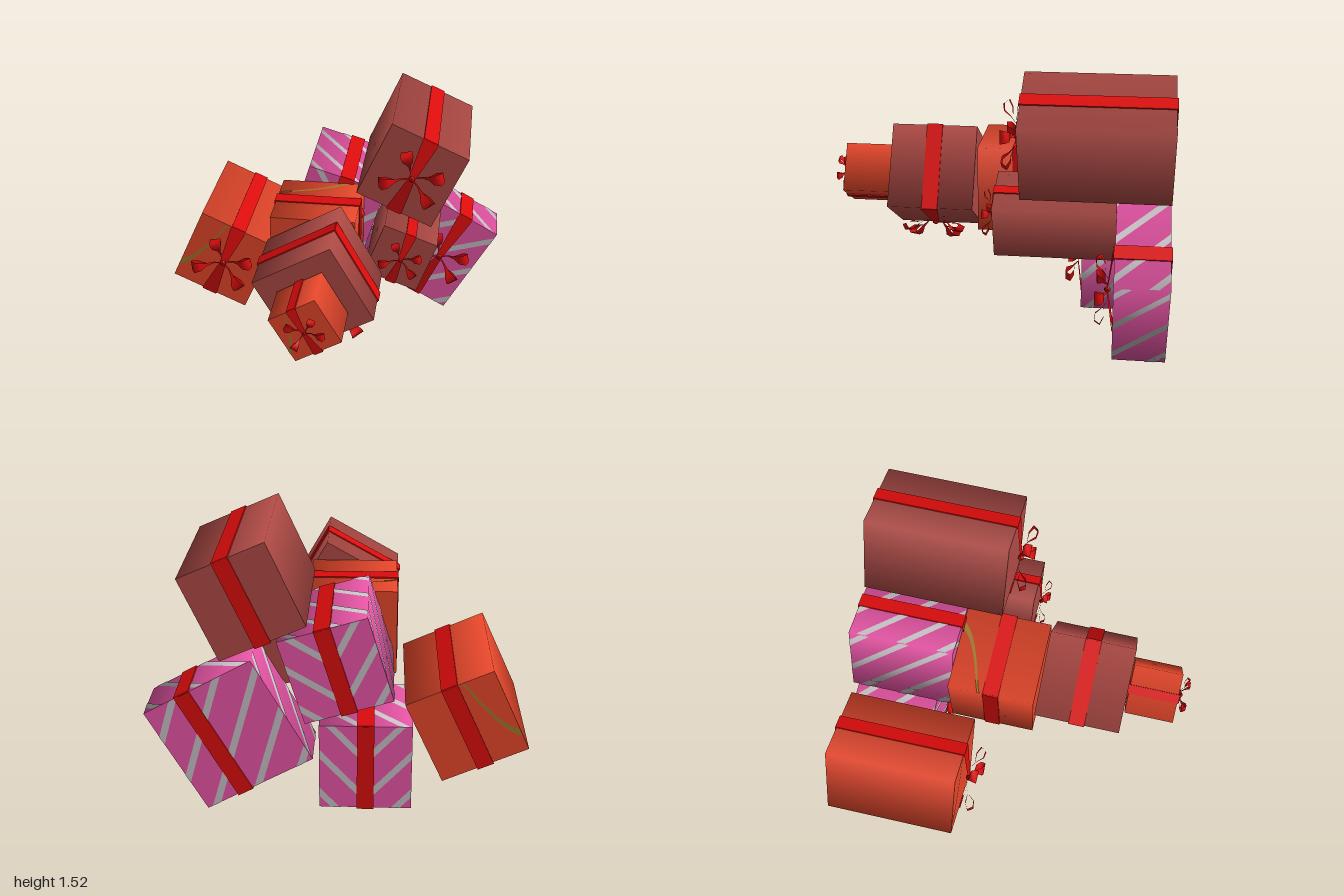
import * as THREE from 'three';

const flat = (name, color, side = THREE.FrontSide) => {
  const m = new THREE.MeshStandardMaterial({ color, side });
  m.name = name;
  return m;
};

export function createModel() {
  const mats = {
    orange: flat('orange paper', 0xe6472b),
    brown: flat('brown paper', 0xae4a45),
    pink: flat('pink paper', 0xe855a6),
    silver: flat('silver stripe', 0xc6c0c4),
    green: flat('olive streak', 0x9a7a2a),
    ribbon: flat('red ribbon', 0xdc0c0c, THREE.DoubleSide),
  };
  const add = (parent, geo, mat, name) => {
    const mesh = new THREE.Mesh(geo, mat);
    mesh.name = name;
    parent.add(mesh);
  };

  // Put a flat decoration on a face: 0-3 are the long sides, 4 the front, 5 the back
  const placeOnFace = (geo, face, s, d) => {
    if (face < 4) {
      return geo.rotateX(-Math.PI / 2).translate(0, s / 2 + 0.003, 0).rotateZ(face * Math.PI / 2);
    }
    geo.translate(0, 0, d / 2 + 0.003);
    return face === 5 ? geo.rotateY(Math.PI) : geo;
  };

  // Band following a rise rule, cut off at the edges of a w x h face
  const band = (w, h, rise, c, t, soft) => {
    const geo = new THREE.PlaneGeometry(w, h, 32, 1);
    const p = geo.attributes.position, n = geo.attributes.normal;
    const v = new THREE.Vector3();
    for (let i = 0; i < p.count; i++) {
      const x = p.getX(i);
      const y = rise(x) + c + (p.getY(i) > 0 ? t / 2 : -t / 2);
      p.setY(i, THREE.MathUtils.clamp(y, -h / 2, h / 2));
      if (soft) {
        v.set(2 * x / w, 0, 1).normalize();
        n.setXYZ(i, v.x, v.y, v.z);
      }
    }
    return geo;
  };

  const addStripes = (g, s, d, chevron) => {
    for (let face = 0; face < 6; face++) {
      const side = face < 4, h = side ? d : s;
      const rise = side ? x => -x : chevron ? x => 1.1 * Math.abs(x) : x => x;
      const reach = (h + s) / 2;
      const gap = chevron ? 0.23 : 0.26;
      for (let c = -reach + 0.07; c < reach; c += gap) {
        add(g, placeOnFace(band(s, h, rise, c, 0.052, side), face, s, d), mats.silver, 'paperStripe');
      }
    }
  };

  // One steep curved streak on each end
  const addStreaks = (g, s, d) => {
    for (const [face, dir] of [[4, -1], [5, 1]]) {
      const rise = x => {
        const u = x - dir * 0.31 * s;
        return -dir * 2.4 * u + 5 * u * u / s;
      };
      add(g, placeOnFace(band(s, s, rise, 0, s * 0.09, false), face, s, d), mats.green, 'paperStreak');
    }
  };

  // Curled bow loop: out from the knot, up, and back under. [radius, height, width]
  const curl = [[0, 0.03, 0.01], [0.06, 0.03, 0.01], [0.1, 0.06, 0.022], [0.13, 0.095, 0.055],
    [0.17, 0.1, 0.075], [0.19, 0.07, 0.065], [0.15, 0.05, 0.05], [0.1, 0.05, 0.015]];
  const bowLoop = (angle) => {
    const geo = new THREE.PlaneGeometry(1, 1, 1, curl.length - 1);
    const p = geo.attributes.position;
    for (let i = 0; i < p.count; i++) {
      const [r, h, w] = curl[Math.floor(i / 2)];
      p.setXYZ(i, r, (i % 2 ? 0.5 : -0.5) * w, h);
    }
    geo.rotateZ(angle);
    geo.computeVertexNormals();
    return geo;
  };

  const addRibbon = (g, s, d, offset) => {
    const k = Math.min(1, s / 0.488), w = 0.09 * k, t = 0.014;
    const ribbon = new THREE.Group();
    ribbon.name = 'ribbon';
    ribbon.position.x = offset;
    g.add(ribbon);
    // bands over the top, bottom and back
    for (const y of [-1, 1]) {
      add(ribbon, new THREE.BoxGeometry(w, t, d + 0.012).translate(0, y * s / 2, 0), mats.ribbon, 'ribbonBand');
    }
    add(ribbon, new THREE.BoxGeometry(w, s, t).translate(0, 0, -d / 2), mats.ribbon, 'ribbonBack');
    // front band, gathered at the knot
    const front = new THREE.PlaneGeometry(w * 1.1, s, 2, 10);
    const p = front.attributes.position;
    for (let i = 0; i < p.count; i++) {
      const a = Math.abs(p.getY(i)) / (s / 2);
      p.setX(i, p.getX(i) * (0.4 + 0.6 * a));
      p.setZ(i, d / 2 + 0.007 + 0.03 * k * (1 - a));
    }
    front.computeVertexNormals();
    add(ribbon, front, mats.ribbon, 'ribbonFront');
    // bow
    const bow = new THREE.Group();
    bow.name = 'bow';
    bow.position.z = d / 2;
    bow.scale.setScalar(k);
    ribbon.add(bow);
    add(bow, new THREE.IcosahedronGeometry(0.02, 0).translate(0, 0, 0.035), mats.ribbon, 'knot');
    for (const deg of [36, 124, 208, 332]) {
      add(bow, bowLoop(deg * Math.PI / 180), mats.ribbon, 'bowLoop');
    }
  };

  // name, paper, side, back z, front z, centre x, centre y, tilt in degrees, options
  const gifts = [
    ['leftGift', 'orange', 0.488, -0.97, -0.215, -0.68, 0.518, -24.5, {}],
    ['bottomGift', 'pink', 0.488, -0.97, -0.48, -0.155, 0.268, 0, { chevron: true }],
    ['largeGift', 'pink', 0.645, -0.97, -0.68, 0.56, 0.44, -29, { offset: 0.09 }],
    ['topGift', 'brown', 0.487, -0.97, -0.16, 0.468, 1.194, -24, {}],
    ['smallGift', 'brown', 0.33, -0.68, -0.015, 0.427, 0.73, -20, {}],
    ['middleGift', 'orange', 0.49, -0.37, 0.125, -0.073, 0.775, 0, { bowBelow: true }],
    ['backGift', 'pink', 0.482, -0.97, -0.37, 0, 0.822, -16.8, { chevron: true }],
    ['frontGift', 'brown', 0.488, 0.135, 0.62, 0, 0.795, 29.7, { bowBelow: true }],
    ['tipGift', 'orange', 0.282, 0.63, 0.91, 0, 0.795, 30, {}],
  ];

  const model = new THREE.Group();
  model.name = 'giftPile';
  for (const [name, paper, s, z0, z1, x, y, tilt, opt] of gifts) {
    const gift = new THREE.Group();
    gift.name = name;
    gift.position.set(x, y, (z0 + z1) / 2);
    gift.rotation.z = tilt * Math.PI / 180;
    model.add(gift);
    const body = new THREE.Group();
    body.name = name + 'Body';
    if (opt.bowBelow) body.rotation.set(Math.PI / 2, 0, Math.PI / 2);
    gift.add(body);
    // four-sided prism: flat ends and softly shaded long sides running front to back
    const d = z1 - z0, r = Math.SQRT1_2;
    const box = new THREE.CylinderGeometry(r, r, 1, 4).rotateY(Math.PI / 4).rotateX(Math.PI / 2);
    if (opt.bowBelow) box.rotateY(Math.PI / 2);
    add(body, box.scale(s, s, d), mats[paper], 'box');
    if (paper === 'pink') addStripes(body, s, d, opt.chevron);
    if (paper === 'orange') addStreaks(body, s, d);
    addRibbon(body, s, d, opt.offset || 0);
  }
  return model;
}
